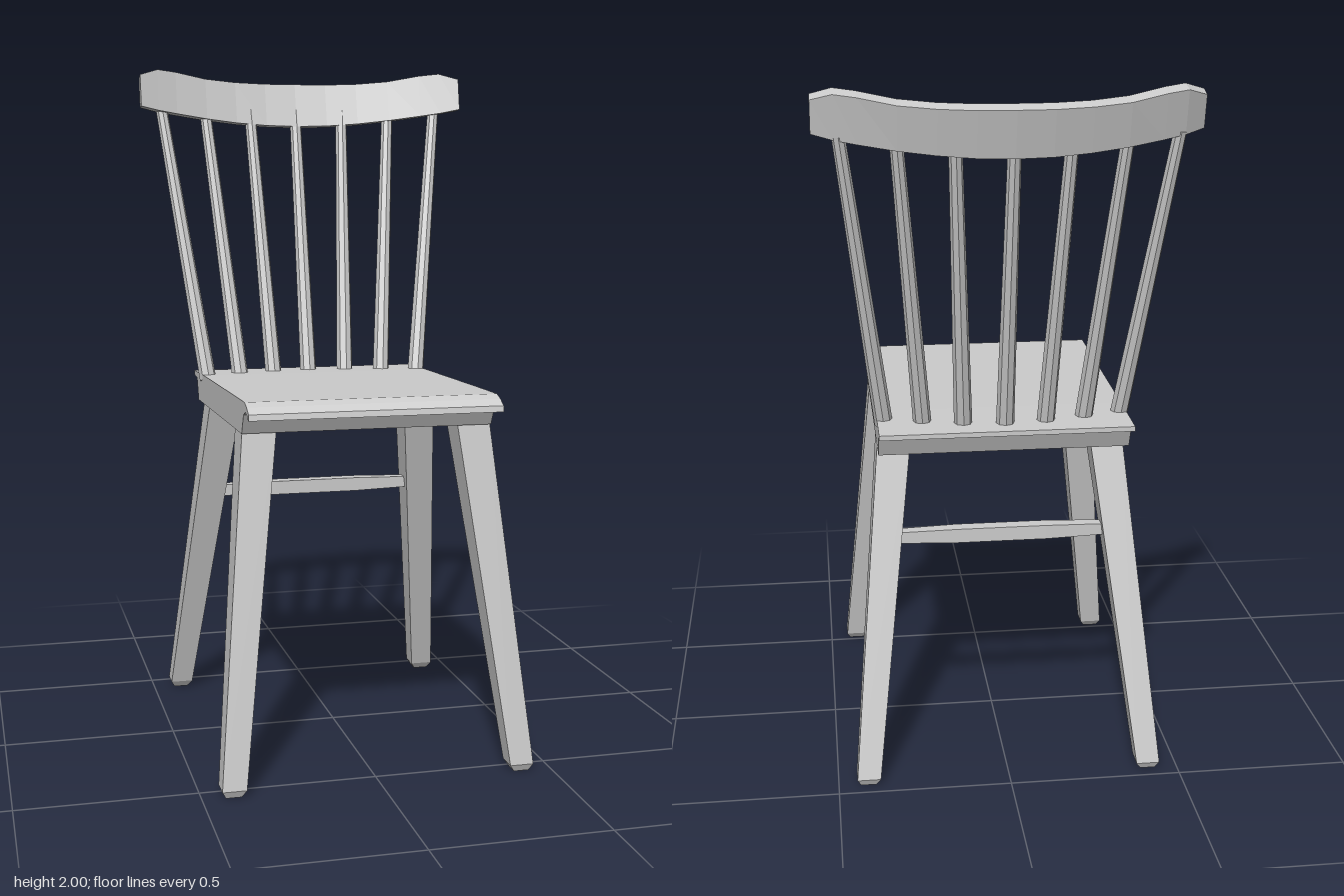
import * as THREE from 'three';

const material = new THREE.MeshStandardMaterial({ color: 0xcccccc, flatShading: true, side: THREE.DoubleSide });

function mesh(name, geometry) {
  const m = new THREE.Mesh(geometry, material);
  m.name = name;
  return m;
}

// Skin a row of four-cornered cross-sections and close both ends.
function loft(rings) {
  const pos = [];
  const quad = (a, b, c, d) => [a, b, c, a, c, d].forEach((p) => pos.push(...p));
  for (let i = 0; i < rings.length - 1; i++) {
    for (let j = 0; j < 4; j++) {
      const k = (j + 1) % 4;
      quad(rings[i][j], rings[i][k], rings[i + 1][k], rings[i + 1][j]);
    }
  }
  quad(...[...rings[0]].reverse());
  quad(...rings[rings.length - 1]);
  const g = new THREE.BufferGeometry();
  g.setAttribute('position', new THREE.Float32BufferAttribute(pos, 3));
  g.computeVertexNormals();
  return g;
}

// Horizontal section for a leg.
const legRing = (x, y, z, hx, hz) => [
  [x + hx, y, z + hz], [x + hx, y, z - hz], [x - hx, y, z - hz], [x - hx, y, z + hz],
];

// Tapered, splayed leg with a chamfered foot.
function leg(name, side, footZ, topZ) {
  return mesh(name, loft([
    legRing(side * 0.413, 0, footZ, 0.022, 0.02),
    legRing(side * 0.412, 0.02, footZ * 0.995, 0.034, 0.031),
    legRing(side * 0.307, 0.99, topZ, 0.048, 0.052),
  ]));
}

function createModel() {
  const chair = new THREE.Group();
  chair.name = 'chair';

  // Seat: side profile (z, y) with a rolled front lip and thin rear edge
  const profile = [
    [0.52, 1.025], [0.517, 1.042], [0.49, 1.058], [0.46, 1.068], [0.3, 1.066], [-0.2, 1.058],
    [-0.405, 1.052], [-0.405, 1.038], [-0.355, 1.036], [-0.325, 0.968], [0.415, 0.975],
    [0.445, 1.032], [0.47, 1.042], [0.49, 1.038], [0.51, 1.024],
  ];
  const shape = new THREE.Shape(profile.map(([z, y]) => new THREE.Vector2(-z, y)));
  const seat = new THREE.ExtrudeGeometry(shape, { depth: 0.716, bevelEnabled: false });
  seat.rotateY(Math.PI / 2).translate(-0.358, 0, 0);
  chair.add(mesh('seat', seat));

  // Legs
  for (const [label, s] of [['Left', 1], ['Right', -1]]) {
    chair.add(leg('front' + label + 'Leg', s, 0.535, 0.355));
    chair.add(leg('back' + label + 'Leg', s, -0.44, -0.168));
  }

  // Stretcher between the back legs, slightly fuller in the middle
  const bar = [[-0.33, 0.016], [-0.13, 0.021], [0.13, 0.021], [0.33, 0.016]];
  chair.add(mesh('stretcher', loft(bar.map(([x, h]) => [
    [x, 0.69 - h, -0.25 + h], [x, 0.69 - h, -0.25 - h], [x, 0.69 + h, -0.25 - h], [x, 0.69 + h, -0.25 + h],
  ]))));

  // Spindles: [bottom x, bottom z, top x, top z], fanning outwards
  const spindles = new THREE.Group();
  spindles.name = 'spindles';
  const fan = [[0, -0.328, 0, -0.517], [0.117, -0.315, 0.152, -0.505], [0.23, -0.288, 0.302, -0.482], [0.338, -0.258, 0.447, -0.442]];
  fan.forEach(([bx, bz, tx, tz], i) => {
    for (const s of i ? [1, -1] : [1]) {
      const a = new THREE.Vector3(s * bx, 1.04, bz);
      const b = new THREE.Vector3(s * tx, 1.88, tz);
      const spindle = mesh('spindle', new THREE.CylinderGeometry(0.018, 0.026, a.distanceTo(b), 8));
      spindle.position.addVectors(a, b).multiplyScalar(0.5);
      spindle.quaternion.setFromUnitVectors(new THREE.Vector3(0, 1, 0), b.sub(a).normalize());
      spindles.add(spindle);
    }
  });
  chair.add(spindles);

  // Top rail half: [x, bottom y, top y, front z at top, back z at top, lean]
  const half = [
    [0, 1.83, 1.965, -0.52, -0.565, 0.032],
    [0.1, 1.832, 1.965, -0.515, -0.56, 0.032],
    [0.2, 1.839, 1.968, -0.502, -0.546, 0.031],
    [0.3, 1.85, 1.976, -0.48, -0.53, 0.03],
    [0.4, 1.864, 1.994, -0.448, -0.5, 0.028],
    [0.46, 1.873, 2.0, -0.424, -0.476, 0.026],
    [0.518, 1.885, 1.982, -0.395, -0.432, 0.018],
  ];
  const stations = [...half.slice(1).reverse().map(([x, ...r]) => [-x, ...r]), ...half];
  chair.add(mesh('topRail', loft(stations.map(([x, y0, y1, zf, zb, lean]) => [
    [x, y0, zf + lean], [x, y0 - 0.004, zb + lean], [x, y1 - 0.012, zb], [x, y1, zf],
  ]))));

  return chair;
}

export { createModel };
